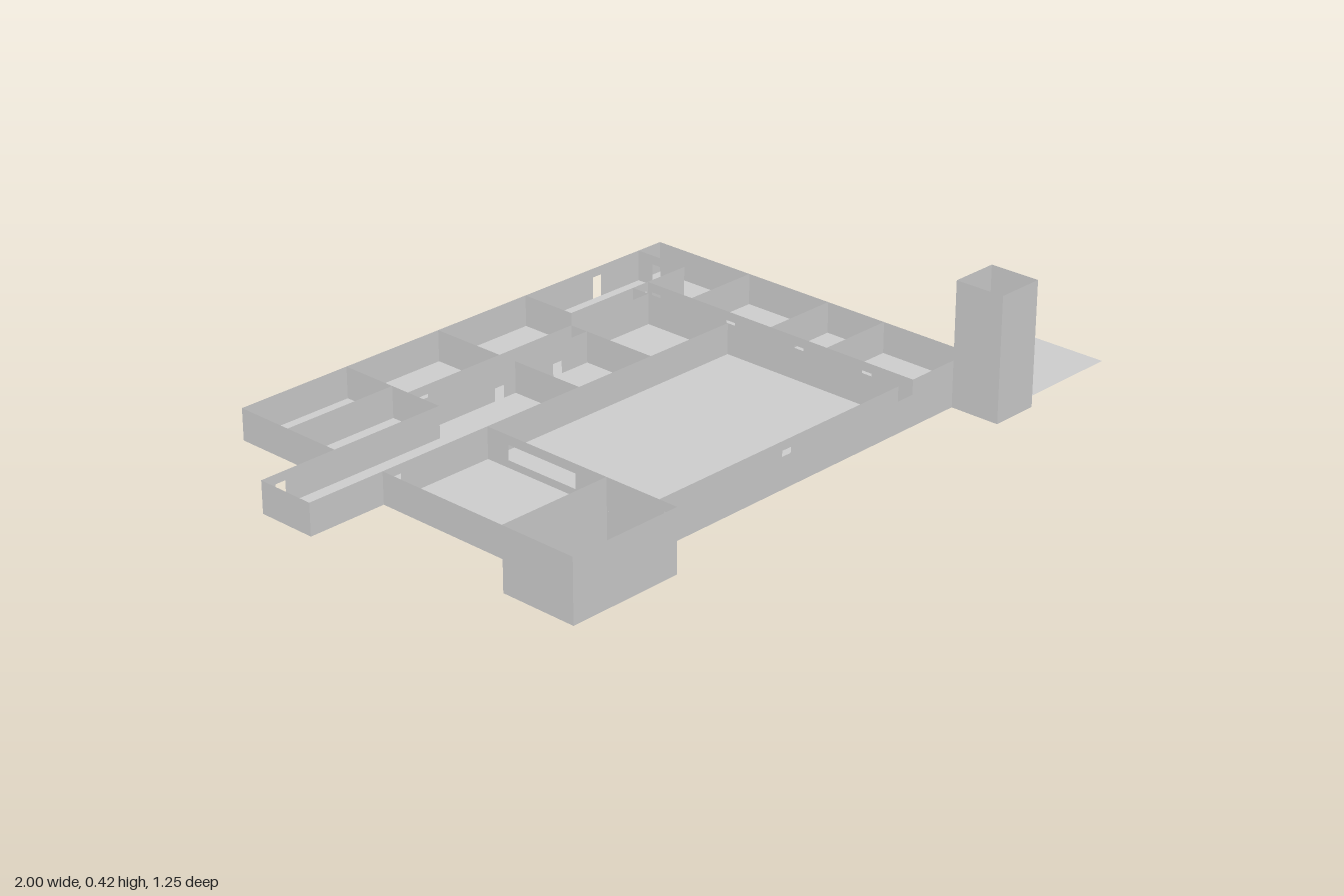
import * as THREE from 'three';

const FLOOR = 0.085, TOP = 0.17, DOOR_TOP = 0.145, DOOR_W = 0.03;

export function createModel() {
  const model = new THREE.Group();
  model.name = 'floorPlan';
  const material = new THREE.MeshStandardMaterial({
    color: 0xcccccc, side: THREE.DoubleSide, flatShading: true,
  });

  function add(name, geometry) {
    const mesh = new THREE.Mesh(geometry, material);
    mesh.name = name;
    model.add(mesh);
    return mesh;
  }

  // Upright sheet from a to b along x or z, with door notches and optional window holes
  function wall(name, axis, at, a, b, { doors = [], windows = [], y0 = FLOOR, y1 = TOP } = {}) {
    const s = new THREE.Shape();
    s.moveTo(a, y0);
    for (const d of doors) {
      s.lineTo(d - DOOR_W / 2, y0);
      s.lineTo(d - DOOR_W / 2, DOOR_TOP);
      s.lineTo(d + DOOR_W / 2, DOOR_TOP);
      s.lineTo(d + DOOR_W / 2, y0);
    }
    s.lineTo(b, y0);
    s.lineTo(b, y1);
    s.lineTo(a, y1);
    s.closePath();
    for (const [w0, w1, h0, h1] of windows) {
      const hole = new THREE.Path();
      hole.moveTo(w0, h0);
      hole.lineTo(w0, h1);
      hole.lineTo(w1, h1);
      hole.lineTo(w1, h0);
      hole.closePath();
      s.holes.push(hole);
    }
    const g = new THREE.ShapeGeometry(s);
    if (axis === 'z') g.rotateY(-Math.PI / 2).translate(at, 0, 0);
    else g.translate(0, 0, at);
    add(name, g);
  }

  // Level sheet
  function slab(name, x0, x1, z0, z1, y = FLOOR) {
    add(name, new THREE.PlaneGeometry(x1 - x0, z1 - z0)
      .rotateX(-Math.PI / 2).translate((x0 + x1) / 2, y, (z0 + z1) / 2));
  }

  // Floors, with the front right corner room sunk lower
  slab('mainFloor', -0.45, 0.66, -0.625, 0.48);
  slab('sideFloor', -0.78, -0.45, -0.625, 0.26);
  slab('sunkenFloor', -0.78, -0.45, 0.26, 0.48, 0);
  slab('passageFloor', -1, -0.78, -0.295, -0.13);
  slab('towerFloor', 0.525, 0.66, 0.48, 0.62);
  slab('terrace', 0.66, 1, 0.31, 0.58);

  // Outer walls
  wall('backWall', 'x', -0.625, -0.78, 0.66, { doors: [0.42] });
  wall('leftWall', 'z', 0.66, -0.625, 0.48, { doors: [0.457] });
  wall('frontWall', 'x', 0.48, -0.45, 0.66);
  wall('rightWallBack', 'z', -0.78, -0.625, -0.295);
  wall('rightWallFront', 'z', -0.78, -0.13, 0.26);

  // Sunken room walls
  wall('sunkenFrontWall', 'x', 0.48, -0.78, -0.45, { y0: 0 });
  wall('sunkenBackWall', 'x', 0.26, -0.78, -0.45, { y0: 0 });
  wall('sunkenOuterWall', 'z', -0.78, 0.26, 0.48, { y0: 0 });
  wall('sunkenInnerWall', 'z', -0.45, 0.26, 0.48, { y0: 0, windows: [[0.44, 0.47, FLOOR, DOOR_TOP]] });

  // Passage projecting to the right
  wall('passageEnd', 'z', -1, -0.295, -0.13);
  wall('passageBackWall', 'x', -0.295, -1, -0.45, { doors: [-0.945] });
  wall('passageFrontWall', 'x', -0.13, -1, 0.385, { doors: [-0.74] });

  // Partitions running across
  wall('rightRoomPartition', 'x', -0.46, -0.78, -0.45);
  wall('hallBackWall', 'x', -0.405, -0.45, 0.385, { doors: [-0.4] });
  wall('hallFrontWall', 'x', -0.35, -0.45, 0.105, { doors: [-0.2, 0] });
  wall('entryFrontWall', 'x', -0.46, 0.16, 0.578, { doors: [0.42] });
  wall('galleryWall', 'x', 0.425, -0.45, 0.385, { doors: [-0.02] });
  for (const z of [-0.305, -0.035, 0.15, 0.425]) wall('leftRoomPartition', 'x', z, 0.44, 0.66);

  // Partitions running front to back
  wall('rightPartitionBack', 'z', -0.45, -0.625, -0.295);
  wall('rightPartitionFront', 'z', -0.45, -0.13, 0.26, { windows: [[-0.06, 0.16, 0.105, DOOR_TOP]] });
  wall('backRoomPartition', 'z', -0.145, -0.625, -0.405);
  wall('middleRoomPartition', 'z', -0.145, -0.35, -0.13);
  wall('middleRoomEnd', 'z', 0.105, -0.405, -0.13);
  wall('entryRightWall', 'z', 0.16, -0.625, -0.46);
  wall('entryLeftWall', 'z', 0.578, -0.625, -0.46, { doors: [-0.56] });
  wall('corridorRightWall', 'z', 0.385, -0.46, 0.425);
  wall('corridorLeftWall', 'z', 0.44, -0.46, 0.425, { doors: [-0.43, -0.17, 0.06, 0.28] });

  // Open-topped tower
  for (const z of [0.48, 0.62]) wall('towerWall', 'x', z, 0.525, 0.66, { y1: 0.42 });
  for (const x of [0.525, 0.66]) wall('towerWall', 'z', x, 0.48, 0.62, { y1: 0.42 });

  return model;
}
